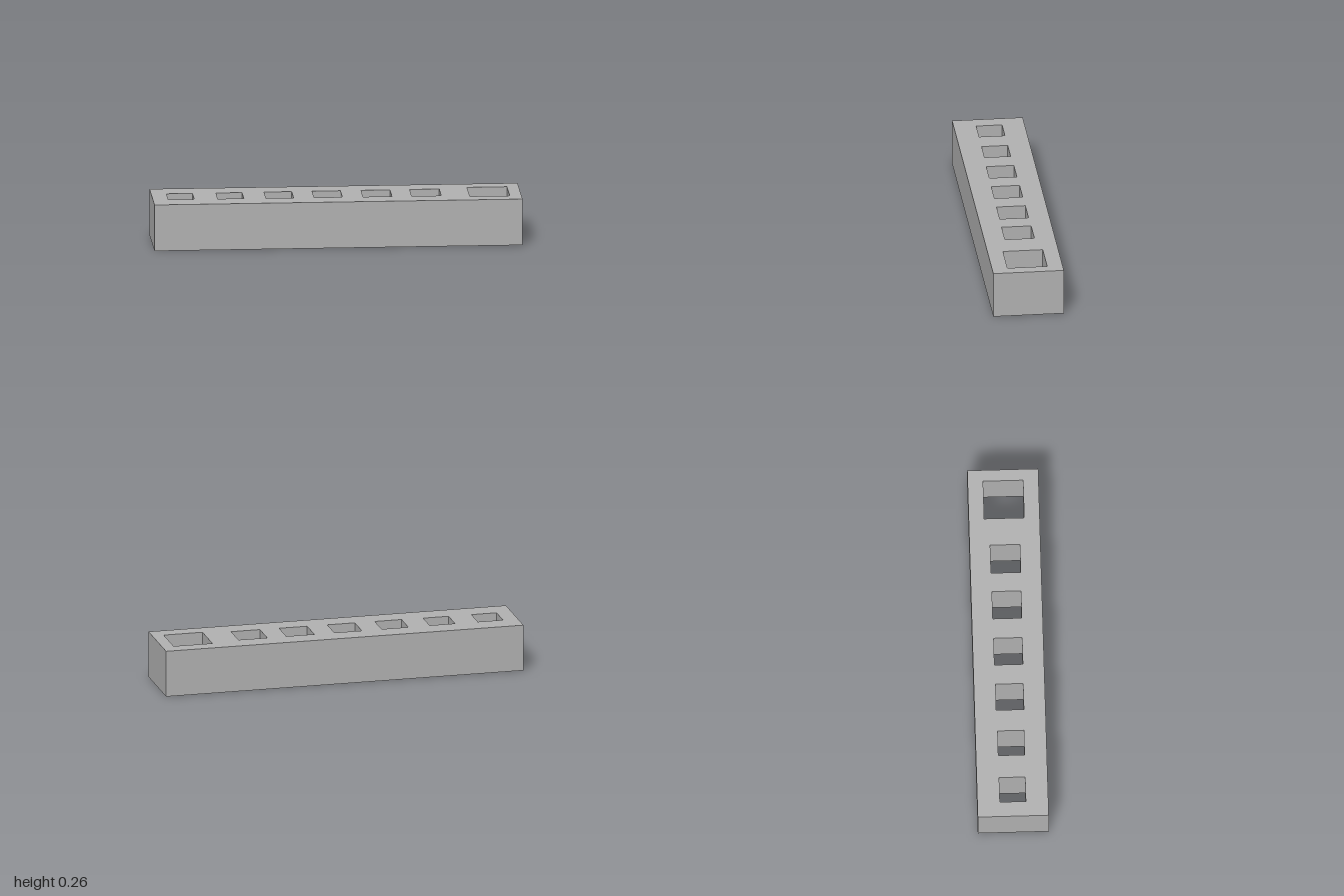
import * as THREE from 'three';

// Square through-holes along the bar: [centre x, side length]
const HOLES = [
  [-0.846, 0.141], [-0.577, 0.142], [-0.311, 0.15], [-0.048, 0.154],
  [0.22, 0.157], [0.486, 0.161], [0.828, 0.217],
];
const LENGTH = 2, DEPTH = 0.385, HEIGHT = 0.256;

// Rectangle outline centred on (cx, 0)
function rectangle(target, cx, width, depth) {
  const w = width / 2, d = depth / 2;
  target.moveTo(cx - w, -d);
  target.lineTo(cx + w, -d);
  target.lineTo(cx + w, d);
  target.lineTo(cx - w, d);
  target.closePath();
  return target;
}

export function createModel() {
  const group = new THREE.Group();
  group.name = 'holedBar';

  const grey = new THREE.MeshStandardMaterial({ color: 0xb2b2b2 });
  grey.name = 'grey';

  // Bar plan with its row of holes, extruded upwards
  const plan = rectangle(new THREE.Shape(), 0, LENGTH, DEPTH);
  for (const [x, size] of HOLES) plan.holes.push(rectangle(new THREE.Path(), x, size, size));

  const geometry = new THREE.ExtrudeGeometry(plan, { depth: HEIGHT, bevelEnabled: false });
  geometry.rotateX(-Math.PI / 2);

  const bar = new THREE.Mesh(geometry, grey);
  bar.name = 'bar';
  group.add(bar);
  return group;
}
